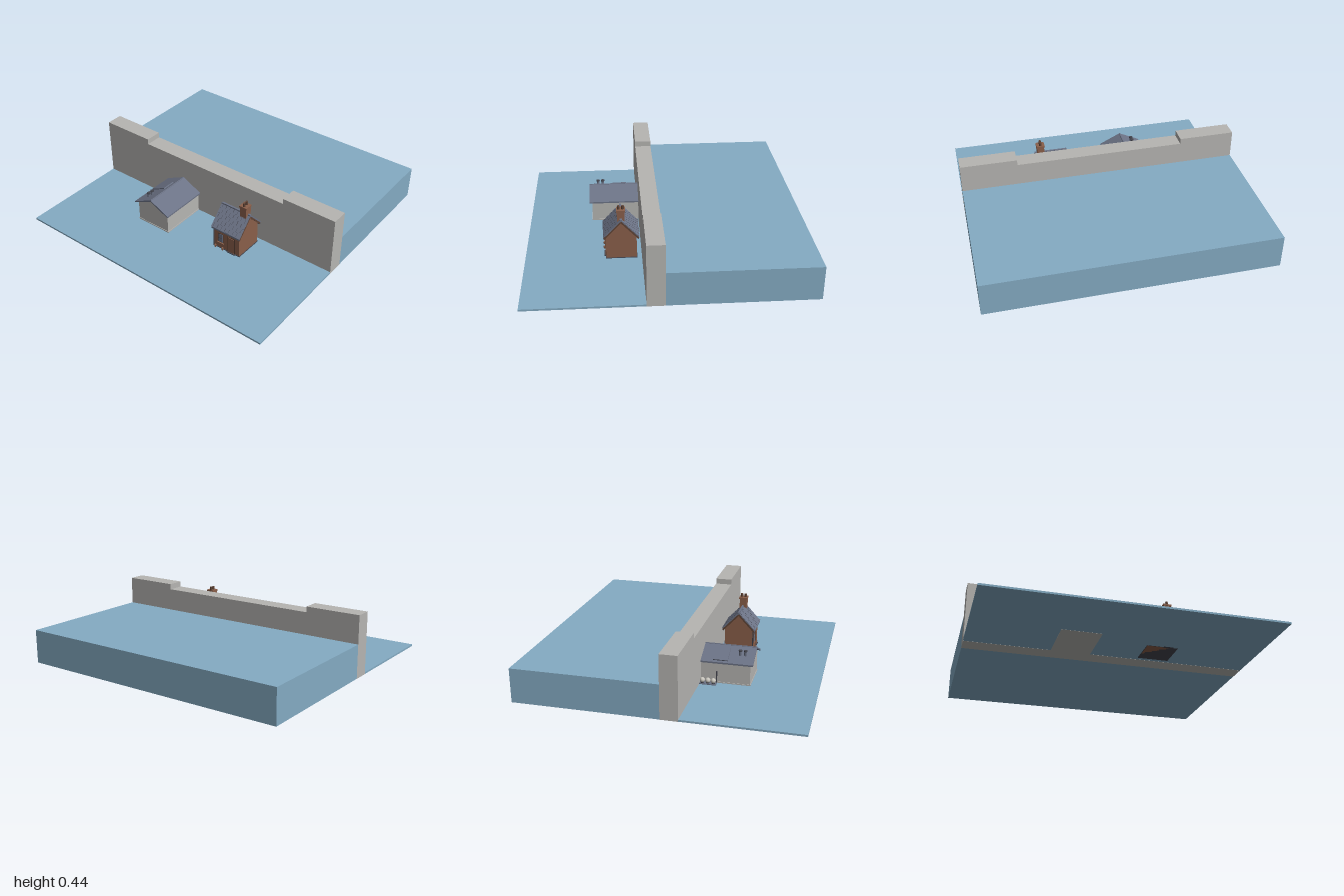
import * as THREE from 'three';

const mat = (name, color) => {
  const m = new THREE.MeshStandardMaterial({ color });
  m.name = name;
  return m;
};

export function createModel() {
  const water = mat('water blue', 0x84abc3);
  const concrete = mat('concrete grey', 0xb6b5b2);
  const slate = mat('slate grey', 0x6c7386);
  const brick = mat('brick brown', 0x8a5f4a);
  const timber = mat('dark timber', 0x5f4436);
  const dark = mat('dark iron', 0x44454e);
  const pale = mat('pale stone', 0xc9c6be);

  const model = new THREE.Group();
  model.name = 'damWithHouses';

  const add = (parent, name, geometry, material, x = 0, y = 0, z = 0) => {
    const m = new THREE.Mesh(geometry, material);
    m.name = name;
    m.position.set(x, y, z);
    parent.add(m);
    return m;
  };
  // box given by its minimum and maximum corners
  const box = (parent, name, material, x0, x1, y0, y1, z0, z1) =>
    add(parent, name, new THREE.BoxGeometry(x1 - x0, y1 - y0, z1 - z0), material,
      (x0 + x1) / 2, (y0 + y1) / 2, (z0 + z1) / 2);
  const rod = (parent, name, material, r, x, y0, y1, z) =>
    add(parent, name, new THREE.CylinderGeometry(r, r, y1 - y0, 12), material, x, (y0 + y1) / 2, z);
  const prism = (points, depth) => {
    const shape = new THREE.Shape(points.map(p => new THREE.Vector2(...p)));
    return new THREE.ExtrudeGeometry(shape, { depth, bevelEnabled: false }).translate(0, 0, -depth / 2);
  };
  // walls with a gable, and the bent roof slab that covers them; ridge runs along local z
  const gable = (w, eave, peak, depth) =>
    prism([[-w, 0], [w, 0], [w, eave], [0, peak], [-w, eave]], depth);
  const roofSlab = (w, eave, peak, t, depth) =>
    prism([[-w, eave], [0, peak], [w, eave], [w, eave + t], [0, peak + t], [-w, eave + t]], depth);

  // Water and dam
  box(model, 'lowerWater', water, -1, 1, 0.001, 0.014, 0.16, 0.96);
  box(model, 'upperWater', water, -1, 1, 0.001, 0.24, -0.96, 0.04);
  add(model, 'damWall', prism([[-1, 0], [1, 0], [1, 0.44], [0.6, 0.44], [0.6, 0.4],
    [-0.6, 0.4], [-0.6, 0.44], [-1, 0.44]], 0.12), concrete, 0, 0, 0.1);

  // Concrete house against the dam
  const shed = new THREE.Group();
  shed.name = 'concreteHouse';
  shed.position.set(-0.265, 0, 0);
  model.add(shed);
  add(shed, 'walls', gable(0.135, 0.168, 0.234, 0.34), concrete, 0, 0, 0.33);
  box(shed, 'plinth', concrete, -0.139, 0.139, 0, 0.022, 0.16, 0.504);
  add(shed, 'roof', roofSlab(0.153, 0.161, 0.235, 0.011, 0.36), slate, 0, 0, 0.34);
  const ridge = add(shed, 'ridgeCap', new THREE.CylinderGeometry(0.005, 0.005, 0.36, 8), slate, 0, 0.244, 0.34);
  ridge.rotation.x = Math.PI / 2;
  const hatch = add(shed, 'roofPanel', new THREE.BoxGeometry(0.125, 0.008, 0.1), slate, -0.083, 0.21, 0.295);
  hatch.rotation.z = Math.atan2(0.074, 0.153);
  for (const z of [0.42, 0.455]) {
    rod(shed, 'roofVent', slate, 0.01, -0.075, 0.2, 0.235, z);
    rod(shed, 'ventCap', dark, 0.013, -0.075, 0.235, 0.243, z);
  }
  // Rounded tanks and pipe beside the left-hand wall
  for (const z of [0.178, 0.216, 0.254]) {
    add(shed, 'tank', new THREE.SphereGeometry(0.018, 16, 12), pale, -0.169, 0.04, z);
    rod(shed, 'tankFoot', dark, 0.012, -0.169, 0.014, 0.026, z);
  }
  box(shed, 'tankShelf', slate, -0.188, -0.135, 0.014, 0.02, 0.16, 0.275);
  rod(shed, 'wallPipe', dark, 0.005, -0.141, 0.014, 0.1, 0.27);

  // Brick house, ridge along x
  const house = new THREE.Group();
  house.name = 'brickHouse';
  house.position.set(0.32, 0, 0.3);
  model.add(house);
  const walls = add(house, 'walls', gable(0.105, 0.178, 0.295, 0.212), brick);
  walls.rotation.y = Math.PI / 2;
  box(house, 'foundation', dark, -0.11, 0.11, 0, 0.018, -0.109, 0.109);
  const roof = add(house, 'roof', roofSlab(0.121, 0.168, 0.297, 0.012, 0.236), slate);
  roof.rotation.y = Math.PI / 2;

  // Overlapping slate courses on both slopes
  const pitch = Math.atan2(0.129, 0.121);
  const rows = 5;
  for (const side of [-1, 1]) {
    for (let i = 0; i < rows; i++) {
      const f = (i + 0.5) / rows;
      const z = side * 0.121 * (1 - f);
      const y = 0.183 + 0.129 * f;
      const course = add(house, 'slateCourse', new THREE.BoxGeometry(0.24, 0.006, 0.036), slate, 0, y, z);
      course.rotation.x = side * (pitch - 0.1);
      // thin dark joints between slates
      for (let k = 0; k < 7; k++) {
        const joint = add(house, 'slateJoint', new THREE.BoxGeometry(0.002, 0.007, 0.026), dark,
          -0.105 + k * 0.032 + (i % 2) * 0.016, y, z);
        joint.rotation.x = course.rotation.x;
      }
    }
  }
  box(house, 'ridgeCap', slate, -0.12, 0.12, 0.308, 0.317, -0.007, 0.007);

  // Bargeboards on the gables and gutters on the eaves
  for (const side of [-1, 1]) {
    for (const end of [-1, 1]) {
      const board = add(house, 'bargeboard', new THREE.BoxGeometry(0.005, 0.012, 0.172), timber,
        end * 0.116, 0.234, side * 0.059);
      board.rotation.x = side * pitch;
    }
    const gutter = add(house, 'gutter', new THREE.CylinderGeometry(0.005, 0.005, 0.236, 8), dark, 0, 0.17, side * 0.116);
    gutter.rotation.z = Math.PI / 2;
  }
  rod(house, 'downpipe', dark, 0.004, -0.109, 0.014, 0.17, 0.108);

  // Chimney with a stepped cap and two pots
  box(house, 'chimney', brick, 0.05, 0.102, 0.24, 0.365, -0.026, 0.026);
  box(house, 'chimneyCap', brick, 0.046, 0.106, 0.365, 0.378, -0.03, 0.03);
  for (const z of [-0.014, 0.014]) rod(house, 'chimneyPot', timber, 0.009, 0.076, 0.378, 0.402, z);

  // Front window
  box(house, 'windowFrame', timber, -0.073, -0.025, 0.066, 0.144, 0.104, 0.109);
  box(house, 'windowPane', slate, -0.068, -0.03, 0.072, 0.138, 0.108, 0.111);
  box(house, 'windowBar', timber, -0.05, -0.048, 0.072, 0.138, 0.11, 0.112);
  box(house, 'windowBar', timber, -0.068, -0.03, 0.104, 0.106, 0.11, 0.112);
  box(house, 'windowSill', brick, -0.076, -0.022, 0.06, 0.067, 0.104, 0.116);

  // Front door with planks, frame and step
  box(house, 'doorFrame', timber, 0.01, 0.072, 0.014, 0.147, 0.104, 0.108);
  for (let i = 0; i < 3; i++) {
    box(house, 'doorPlank', brick, 0.016 + i * 0.017, 0.031 + i * 0.017, 0.018, 0.141, 0.107, 0.111);
  }
  box(house, 'doorStep', dark, 0.008, 0.074, 0, 0.02, 0.1, 0.118);

  // Small pots by the front wall
  for (const x of [-0.028, -0.09]) {
    add(house, 'plantPot', new THREE.CylinderGeometry(0.008, 0.006, 0.018, 12), brick, x, 0.023, 0.116);
  }
  return model;
}
